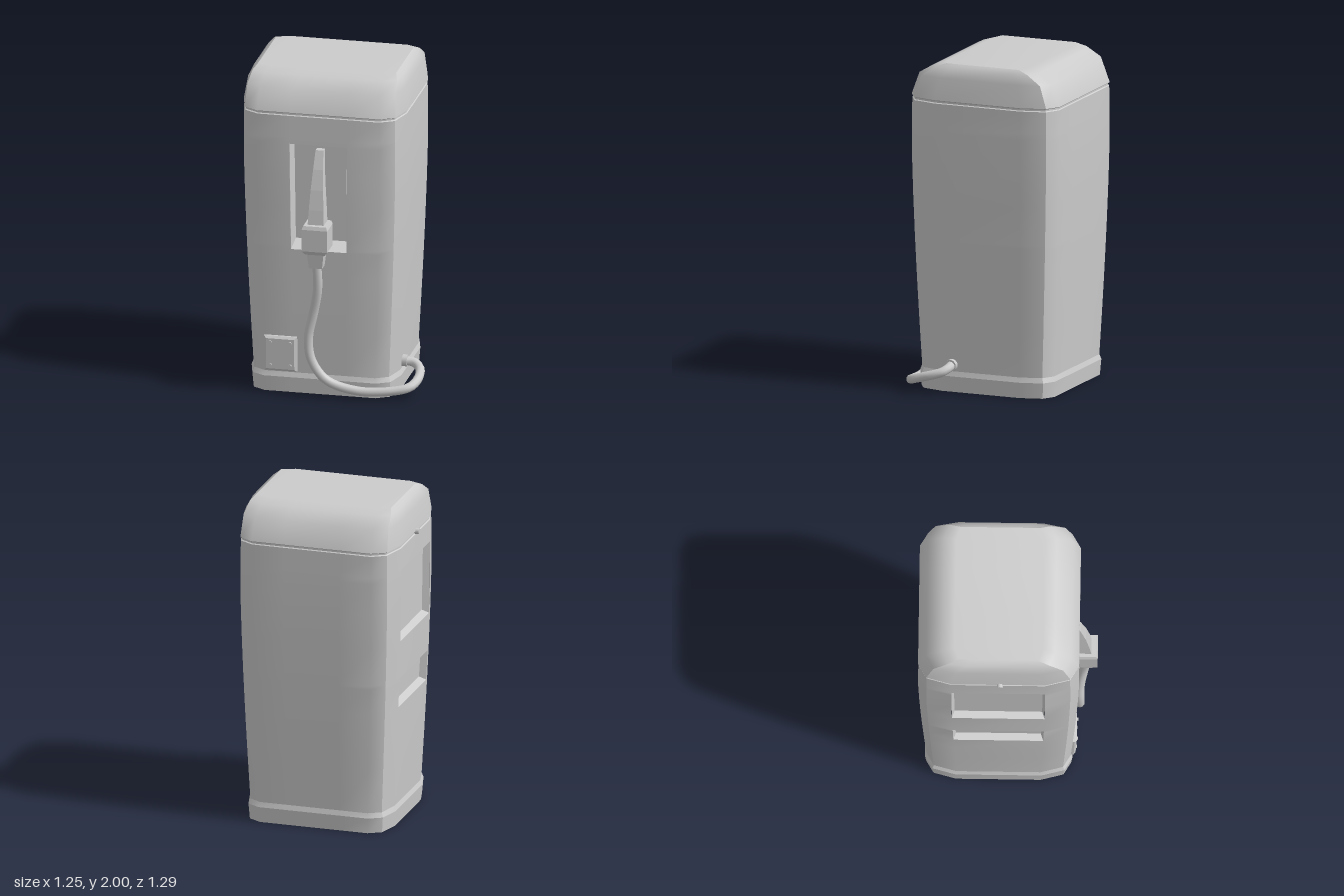
import * as THREE from 'three';
import { mergeGeometries } from 'three/addons/utils/BufferGeometryUtils.js';

const smooth = new THREE.MeshStandardMaterial({ color: 0xcccccc, side: THREE.DoubleSide });
const flat = new THREE.MeshStandardMaterial({ color: 0xcccccc, side: THREE.DoubleSide, flatShading: true });

// Cross-section of the housing: front strip (left to right) and left-hand side strip (front to back)
const FRONT = [[-0.46, 0.43], [-0.375, 0.48], [-0.175, 0.48], [0.175, 0.48], [0.375, 0.48], [0.46, 0.43]];
const SIDE = [[0.46, 0.43], [0.5, 0.28], [0.5, -0.28], [0.46, -0.43]];
const turn = (strip) => strip.map(([x, z]) => [-x, -z]);
const STRIPS = [FRONT, SIDE, turn(FRONT), turn(SIDE)];

// Surface through rows of points, leaving out the cells for which skip() is true
function grid(rows, skip = () => false) {
  const n = rows[0].length, index = [];
  for (let i = 0; i < rows.length - 1; i++) {
    for (let j = 0; j < n - 1; j++) {
      if (skip(i, j)) continue;
      const a = i * n + j, b = a + 1, c = b + n, d = a + n;
      index.push(a, b, c, a, c, d);
    }
  }
  const g = new THREE.BufferGeometry();
  g.setAttribute('position', new THREE.Float32BufferAttribute(rows.flat(2), 3));
  g.setIndex(index);
  g.computeVertexNormals();
  return g;
}

function add(parent, name, geometry, material = smooth, x = 0, y = 0, z = 0) {
  const mesh = new THREE.Mesh(geometry, material);
  mesh.name = name;
  mesh.position.set(x, y, z);
  parent.add(mesh);
  return mesh;
}

// Four strips around the housing; levels are [scale, y]; the vertical corner edges stay sharp
function band(levels, skip = () => false) {
  return mergeGeometries(STRIPS.map((strip, k) => grid(
    levels.map(([s, y]) => strip.map(([x, z]) => [x * s, y, z * s])),
    (i, j) => skip(k, (levels[i][1] + levels[i + 1][1]) / 2, j))));
}

// Housing swells gently from the foot to just under the cap
const swell = (y) => y < 1.5 ? 1 - 0.105 * Math.pow((1.5 - y) / 1.37, 1.4) : 1 - 0.02 * (y - 1.5);

// Tapered pocket behind an opening in the housing wall
function recess(parent, name, half, face, y0, y1, depth, insetX, insetY, angle) {
  const loop = (dx, dy, dz) => [[-1, y0 + dy], [1, y0 + dy], [1, y1 - dy], [-1, y1 - dy], [-1, y0 + dy]]
    .map(([side, y], i) => {
      const s = swell(i === 2 || i === 3 ? y1 : y0);
      return [side * (half * s - dx), y, face * s - dz];
    });
  const inner = loop(insetX, insetY, depth);
  const walls = grid([loop(0, 0, 0), inner]);
  const back = grid([[inner[0], inner[1]], [inner[3], inner[2]]]);
  add(parent, name, mergeGeometries([walls, back]), flat).rotation.y = angle;
}

// Four-sided tapered bar; sections are [y, z, halfWidth, halfDepth] from bottom to top
function bar(sections) {
  const rows = sections.map(([y, z, a, b]) =>
    [[-a, y, z + b], [a, y, z + b], [a, y, z - b], [-a, y, z - b], [-a, y, z + b]]);
  const lid = (r) => grid([[r[0], r[1]], [r[3], r[2]]]);
  const floor = (r) => grid([[r[3], r[2]], [r[0], r[1]]]);
  return mergeGeometries([grid(rows), floor(rows[0]), lid(rows[rows.length - 1])]);
}

export function createModel() {
  const model = new THREE.Group();
  model.name = 'chargingPost';
  const post = new THREE.Group();
  post.name = 'post';
  post.rotation.y = -THREE.MathUtils.degToRad(35.7);
  post.position.z = -0.03;
  model.add(post);

  // Plinth with a bevelled upper edge and an open underside
  add(post, 'plinthRim', band([[0.79, 0.005], [0.9, 0.005]]));
  add(post, 'plinth', band([[0.9, 0.005], [0.915, 0.1]]));
  add(post, 'plinthBevel', band([[0.915, 0.1], [0.895, 0.13]]));

  // Housing wall with openings for the holster and the two screens
  const ys = [0.13, 0.4, 0.6, 0.76, 0.92, 0.945, 1.18, 1.4, 1.59, 1.63, 1.765];
  const opening = (k, y, j) => (k === 0 && j === 2 && y > 0.92 && y < 1.59) ||
    (k === 3 && j === 1 && ((y > 0.76 && y < 0.945) || (y > 1.18 && y < 1.63)));
  add(post, 'housing', band(ys.map((y) => [swell(y), y]), opening));
  recess(post, 'holsterRecess', 0.175, 0.48, 0.92, 1.59, 0.11, 0.005, 0.035, 0);
  recess(post, 'screenRecess', 0.28, 0.5, 1.18, 1.63, 0.04, 0.015, 0.02, -Math.PI / 2);
  recess(post, 'readerRecess', 0.28, 0.5, 0.76, 0.945, 0.04, 0.015, 0.02, -Math.PI / 2);

  // Groove under the cap
  const seam = [[swell(1.765), 1.765], [0.983, 1.77], [0.983, 1.78], [1, 1.786]];
  for (let i = 0; i < 3; i++) add(post, 'seam', band([seam[i], seam[i + 1]]));

  // Cap: one curved sheet from front over the top to the back, closed by two end panels
  const levels = [[1, 1, 1.786], [0.985, 0.9, 1.92], [0.96, 0.7, 1.977], [0.915, 0.55, 2]];
  const over = (sign) => levels.map(([sx, sz, y]) => FRONT.map(([x, z]) => [x * sx, y, sign * z * sz]));
  add(post, 'capTop', grid([...over(1), ...over(-1).reverse()]));
  for (const sign of [1, -1]) {
    const rows = levels.map(([sx, sz, y], k) => SIDE.map(([x, z]) =>
      [sign * (0.46 * sx + (x - 0.46) * (1 - k / 3)), y, sign * z * sz]));
    add(post, 'capEnd', grid(rows));
  }

  // Lock on the seam above the screen
  add(post, 'lock', new THREE.CylinderGeometry(0.018, 0.018, 0.04, 12), smooth, -0.5, 1.783, 0.01)
    .rotation.z = Math.PI / 2;

  // Service plate with four screws, set through the wall
  const plate = new THREE.Group();
  plate.name = 'servicePlate';
  plate.position.set(-0.237, 0.25, 0.44);
  plate.rotation.x = 0.035;
  post.add(plate);
  add(plate, 'plateBody', bar([[-0.02, 0, 0.1, 0.11], [0.01, 0, 0.1, 0.11], [0.022, 0, 0.086, 0.096]]), flat)
    .rotation.x = Math.PI / 2;
  for (const x of [-0.06, 0.06]) {
    for (const y of [-0.073, 0.073]) {
      add(plate, 'screw', new THREE.CylinderGeometry(0.011, 0.011, 0.056, 8), smooth, x, y, 0.002)
        .rotation.x = Math.PI / 2;
    }
  }

  // Connector: neck, boxy grip and curved tapering handle
  add(post, 'connectorNeck', bar([[0.84, 0.52, 0.04, 0.035], [0.94, 0.52, 0.052, 0.045]]), flat);
  add(post, 'connectorGrip', bar([[0.93, 0.51, 0.06, 0.06], [0.955, 0.51, 0.078, 0.076],
    [1.09, 0.51, 0.078, 0.076], [1.112, 0.51, 0.07, 0.068]]), flat);
  add(post, 'connectorHandle', bar([[1.1, 0.5, 0.05, 0.05], [1.2, 0.492, 0.045, 0.045], [1.32, 0.48, 0.038, 0.036],
    [1.44, 0.458, 0.03, 0.027], [1.55, 0.425, 0.024, 0.02]]), flat);

  // Hose hangs from the connector, sweeps round the corner and plugs into the side
  const path = new THREE.CatmullRomCurve3([
    [-0.303, 0.86, 0.392], [-0.292, 0.7, 0.38], [-0.305, 0.53, 0.345], [-0.328, 0.38, 0.325],
    [-0.315, 0.24, 0.335], [-0.24, 0.115, 0.385], [-0.08, 0.055, 0.485], [0.1, 0.062, 0.59],
    [0.2, 0.082, 0.618], [0.28, 0.11, 0.565], [0.33, 0.142, 0.465], [0.31, 0.163, 0.415], [0.25, 0.17, 0.385],
  ].map((p) => new THREE.Vector3(...p)));
  add(model, 'hose', new THREE.TubeGeometry(path, 60, 0.028, 10));
  add(post, 'hoseCollar', new THREE.CylinderGeometry(0.036, 0.036, 0.05, 14), smooth, 0.455, 0.17, 0.185)
    .rotation.z = Math.PI / 2;

  return model;
}
